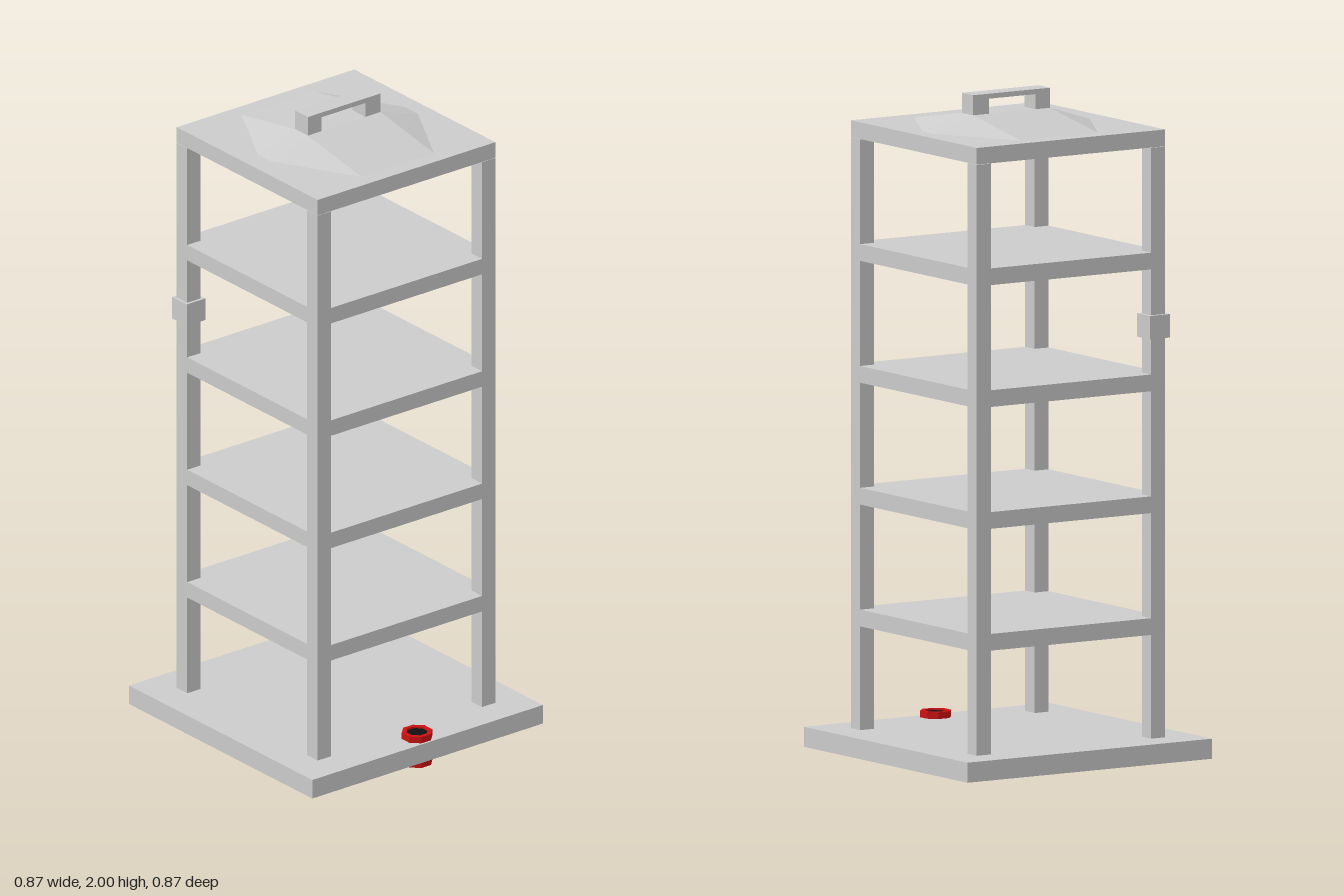
import * as THREE from 'three';
import { ConvexGeometry } from 'three/addons/geometries/ConvexGeometry.js';

export function createModel() {
  const model = new THREE.Group();
  const grey = new THREE.MeshStandardMaterial({ color: 0xcccccc, flatShading: true });
  const red = new THREE.MeshStandardMaterial({ color: 0xcc1111, flatShading: true });
  const black = new THREE.MeshStandardMaterial({ color: 0x111111, flatShading: true });

  const add = (name, geometry, material = grey) => {
    const mesh = new THREE.Mesh(geometry, material);
    mesh.name = name;
    model.add(mesh);
    return mesh;
  };
  // Box given by its lower and upper limits on each axis
  const box = (name, x0, x1, y0, y1, z0, z1) =>
    add(name, new THREE.BoxGeometry(x1 - x0, y1 - y0, z1 - z0))
      .position.set((x0 + x1) / 2, (y0 + y1) / 2, (z0 + z1) / 2);

  // Base slab
  box('base', -0.435, 0.435, 0.02, 0.08, -0.435, 0.435);

  // Corner posts, standing between the base and the top deck
  const outer = 0.335, inner = 0.285;
  for (const sx of [-1, 1]) for (const sz of [-1, 1]) {
    const c = (outer + inner) / 2, w = outer - inner;
    box('cornerPost', sx * c - w / 2, sx * c + w / 2, 0.08, 1.845, sz * c - w / 2, sz * c + w / 2);
  }

  // Four shelves and the top deck, flush with the posts
  for (let i = 0; i < 5; i++) {
    const y = 0.39 + i * 0.364;
    box(i < 4 ? 'shelf' : 'topDeck', -outer, outer, y, y + 0.05, -outer, outer);
  }

  // Low faceted roof with a narrow ridge and cut corners
  const roofPoints = [];
  for (const sx of [-1, 1]) for (const sz of [-1, 1]) {
    roofPoints.push(
      new THREE.Vector3(sx * 0.03, 1.94, sz * 0.137),
      new THREE.Vector3(sx * 0.285, 1.896, sz * 0.137),
      new THREE.Vector3(sx * 0.03, 1.896, sz * 0.277));
  }
  add('roof', new ConvexGeometry(roofPoints)).position.z = -0.007;

  // Carrying handle
  box('handleLeg', -0.03, 0.03, 1.935, 1.985, 0.078, 0.13);
  box('handleLeg', -0.03, 0.03, 1.935, 1.985, -0.144, -0.087);
  box('handleGrip', -0.03, 0.03, 1.985, 2, -0.144, 0.13);

  // Small block around the front right post
  box('latchBlock', -0.346, -0.276, 1.275, 1.345, 0.274, 0.344);

  // Octagonal plug through the base: red sleeve, dark core
  const octagon = (r, Type) => {
    const pts = [];
    for (let i = 0; i < 8; i++) {
      const a = (i + 0.5) * Math.PI / 4;
      pts.push(new THREE.Vector2(r * Math.cos(a), r * Math.sin(a)));
    }
    return new Type(pts);
  };
  const ring = octagon(0.047, THREE.Shape);
  ring.holes.push(octagon(0.033, THREE.Path));
  const extrude = (shape, depth) =>
    new THREE.ExtrudeGeometry(shape, { depth, bevelEnabled: false }).rotateX(-Math.PI / 2);
  add('plugSleeve', extrude(ring, 0.1), red).position.set(0.385, 0, 0);
  add('plugCore', extrude(octagon(0.033, THREE.Shape), 0.09), black).position.set(0.385, 0.005, 0);

  return model;
}
